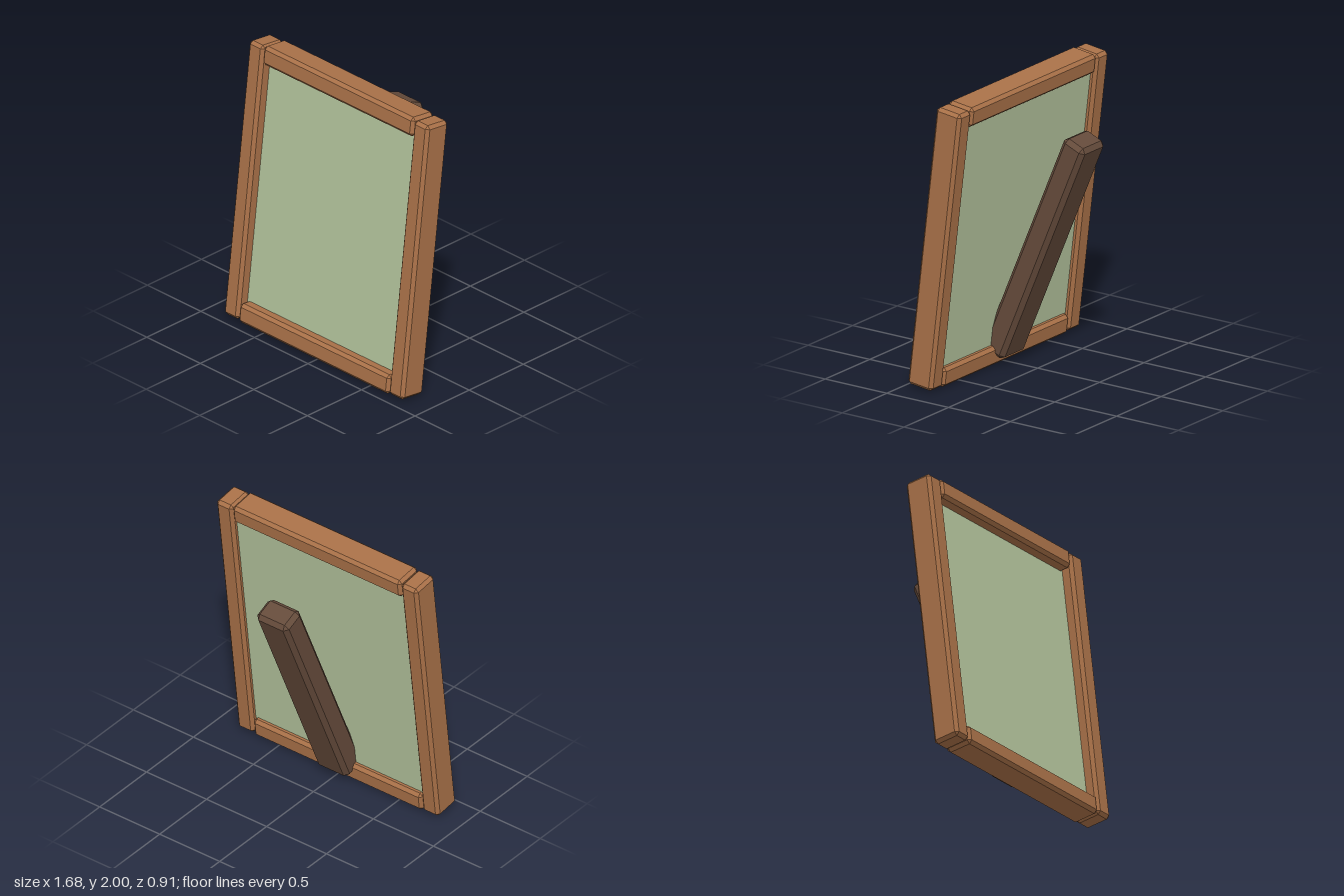
import * as THREE from 'three';
import { ConvexGeometry } from 'three/addons/geometries/ConvexGeometry.js';

// Box with flat chamfers of size c on every edge
function chamferBox(w, h, d, c) {
  const pts = [];
  for (const sx of [-1, 1]) for (const sy of [-1, 1]) for (const sz of [-1, 1]) {
    const x = w / 2, y = h / 2, z = d / 2;
    pts.push(
      new THREE.Vector3(sx * x, sy * (y - c), sz * (z - c)),
      new THREE.Vector3(sx * (x - c), sy * y, sz * (z - c)),
      new THREE.Vector3(sx * (x - c), sy * (y - c), sz * z)
    );
  }
  return new ConvexGeometry(pts);
}

export function createModel() {
  const model = new THREE.Group();
  const wood = new THREE.MeshStandardMaterial({ color: 0xa97148, flatShading: true });
  const darkWood = new THREE.MeshStandardMaterial({ color: 0x654b3b, flatShading: true });
  const green = new THREE.MeshStandardMaterial({ color: 0xb2c29b, flatShading: true });

  const add = (parent, name, geometry, material, x = 0, y = 0, z = 0) => {
    const mesh = new THREE.Mesh(geometry, material);
    mesh.name = name;
    mesh.position.set(x, y, z);
    parent.add(mesh);
    return mesh;
  };

  // Frame leaning backwards
  const frame = new THREE.Group();
  frame.name = 'frame';
  frame.position.set(0, 1, 0.241);
  frame.rotation.x = -0.12;
  model.add(frame);

  const depth = 0.2, bar = 0.137, bevel = 0.022, height = 1.995;
  for (const s of [-1, 1]) {
    add(frame, s > 0 ? 'leftPost' : 'rightPost',
      chamferBox(0.137, 1.975, depth, bevel), wood, s * 0.77);
    add(frame, s > 0 ? 'topRail' : 'bottomRail',
      chamferBox(1.405, bar, depth, bevel), wood, 0, s * (height - bar) / 2);
  }

  // Panel set into the frame
  add(frame, 'panel', new THREE.BoxGeometry(1.42, 1.74, 0.08), green, 0, 0, -0.02);

  // Prop leg behind the frame
  const leg = add(model, 'supportLeg', chamferBox(0.265, 1.72, 0.18, 0.03), darkWood, 0, 0.867, -0.05);
  leg.rotation.x = -0.4;

  return model;
}
